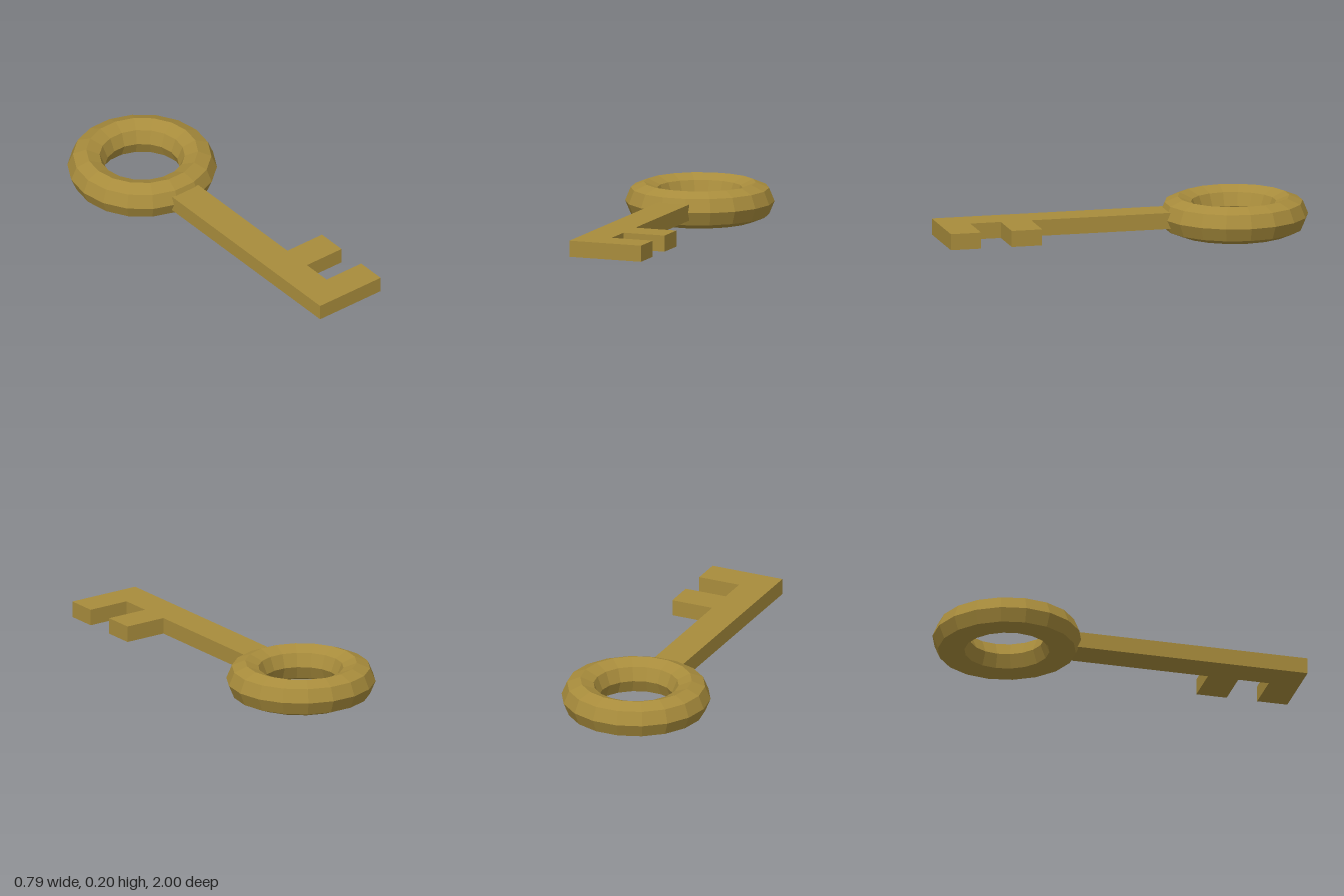
import * as THREE from 'three';

export function createModel() {
  const key = new THREE.Group();
  key.name = 'key';
  const brass = new THREE.MeshStandardMaterial({ color: 0xa88c3c, flatShading: true });

  const addPart = (name, geometry, y, z) => {
    const mesh = new THREE.Mesh(geometry.rotateX(Math.PI / 2), brass);
    mesh.name = name;
    mesh.position.set(0, y, z);
    key.add(mesh);
  };

  // Faceted ring handle, lying flat
  addPart('ringHandle', new THREE.TorusGeometry(0.294, 0.099, 8, 18), 0.099, -0.613);

  // Shaft and two teeth as one outline (x, z), starting inside the ring
  const left = -0.088, right = 0.086, tip = 0.318;
  const outline = [
    [left, -0.31], [right, -0.31],
    [right, 0.505], [tip, 0.505], [tip, 0.67], [right, 0.67],
    [right, 0.836], [tip, 0.836], [tip, 1], [left, 1],
  ].map(([x, z]) => new THREE.Vector2(x, z));
  const shaft = new THREE.ExtrudeGeometry(new THREE.Shape(outline), { depth: 0.086, bevelEnabled: false });
  addPart('shaftWithTeeth', shaft, 0.142, 0);

  return key;
}
